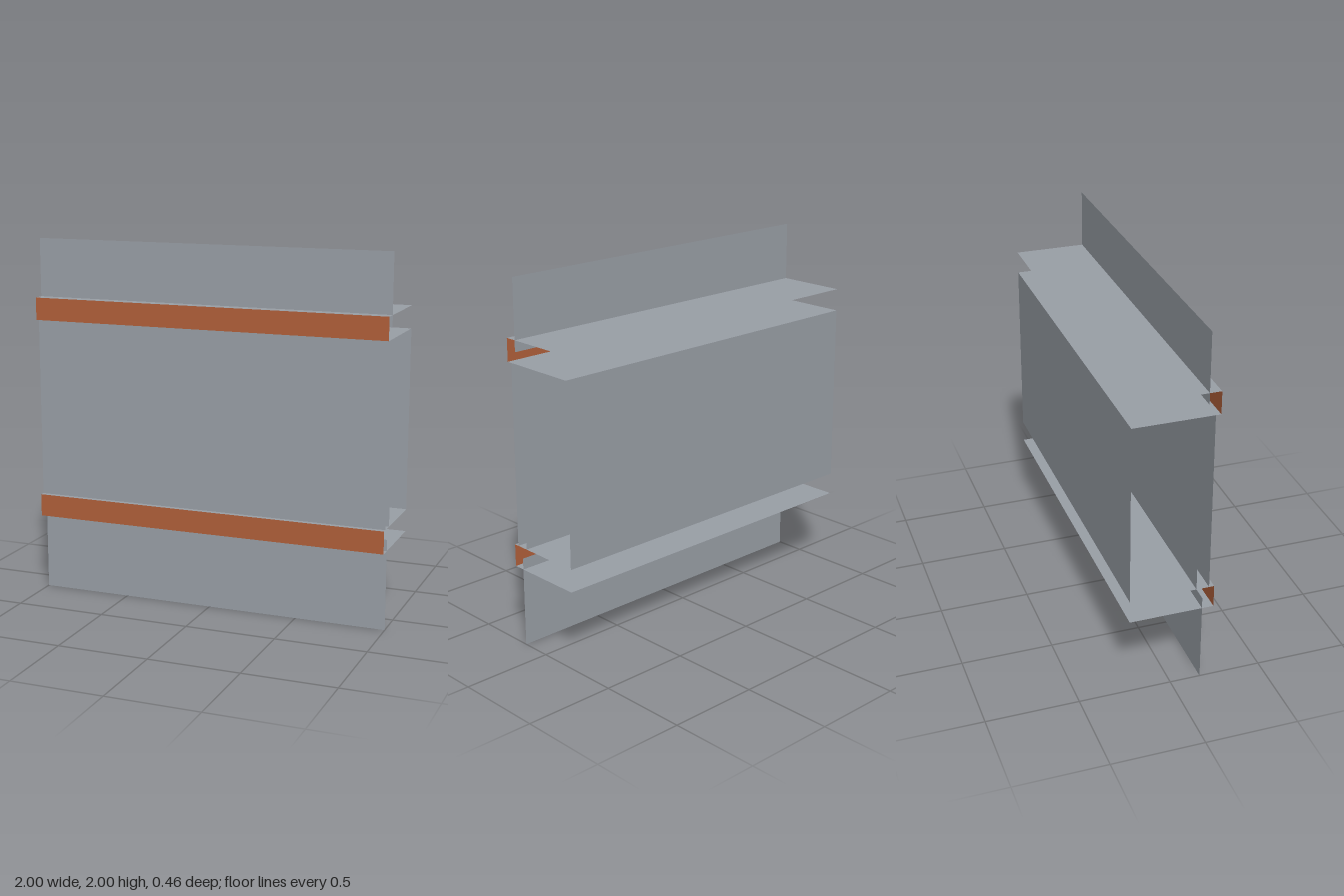
import * as THREE from 'three';

export function createModel() {
  const group = new THREE.Group();
  const grey = new THREE.MeshStandardMaterial({ color: 0x9aa0a7, side: THREE.DoubleSide });
  grey.name = 'galvanised grey';
  const rust = new THREE.MeshStandardMaterial({ color: 0xb2603a, side: THREE.DoubleSide });
  rust.name = 'rust orange';

  const WIDTH = 2, FRONT = 0.228, BACK = -0.228;

  // Upright sheet spanning the full width, facing +z (or -z when flipped)
  function upright(name, y0, y1, z, material = grey, flip = false) {
    const mesh = new THREE.Mesh(new THREE.PlaneGeometry(WIDTH, y1 - y0), material);
    mesh.position.set(0, (y0 + y1) / 2, z);
    if (flip) mesh.rotation.y = Math.PI;
    mesh.name = name;
    group.add(mesh);
  }

  // Level sheet spanning the full width and depth
  function level(name, y) {
    const mesh = new THREE.Mesh(new THREE.PlaneGeometry(WIDTH, FRONT - BACK), grey);
    mesh.rotation.x = -Math.PI / 2;
    mesh.position.set(0, y, (FRONT + BACK) / 2);
    mesh.name = name;
    group.add(mesh);
  }

  // Two rails: a pair of level plates closed at the front by a coloured strip
  const rails = [['lower', 0.436, 0.56], ['upper', 1.555, 1.679]];
  for (const [side, y0, y1] of rails) {
    level(side + 'RailBottomPlate', y0);
    level(side + 'RailTopPlate', y1);
    upright(side + 'FrontStrip', y0, y1, FRONT, rust);
  }

  // Outer wall sheets, reaching to the middle of each rail
  upright('lowerWallSheet', 0, 0.498, 0.165);
  upright('upperWallSheet', 1.617, 2, 0.165);

  // Middle panel with two skins, and the back of the box
  upright('panelFrontSkin', 0.56, 1.555, 0.2);
  upright('panelInnerSkin', 0.56, 1.555, 0.131, grey, true);
  upright('backPanel', 0.56, 1.555, BACK, grey, true);

  return group;
}
